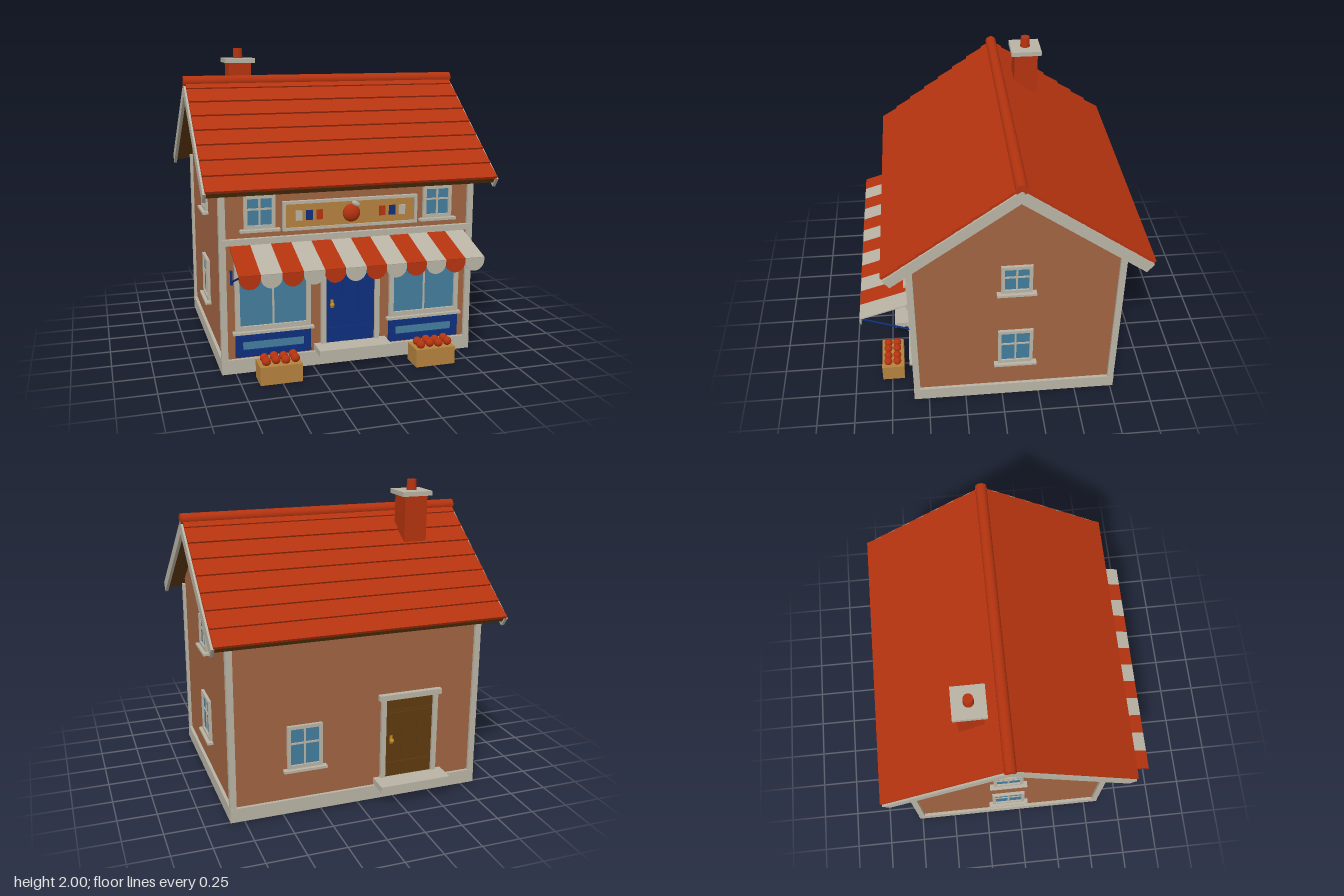
import * as THREE from 'three';

const mat = (name, color, side = THREE.FrontSide) => {
  const m = new THREE.MeshStandardMaterial({ color, side });
  m.name = name;
  return m;
};

export function createModel() {
  const wall = mat('terracotta wall', 0xa06442);
  const red = mat('red', 0xb4330f);
  const cream = mat('cream trim', 0xb8b3a4);
  const blue = mat('blue paint', 0x0f2f7c);
  const glass = mat('glass', 0x437c9c);
  const wood = mat('light wood', 0xb5823e);
  const brown = mat('dark wood', 0x5e3a0e);
  const gold = mat('brass', 0xc08a20);

  const house = new THREE.Group();
  house.name = 'shopHouse';
  const MID = -0.085, FRONT = 0.58, BACK = -0.75, SIDE = 0.82;

  const add = (parent, name, geo, material, x = 0, y = 0, z = 0) => {
    const m = new THREE.Mesh(geo, material);
    m.name = name;
    m.position.set(x, y, z);
    parent.add(m);
    return m;
  };
  const box = (parent, name, material, w, h, d, x, y, z) =>
    add(parent, name, new THREE.BoxGeometry(w, h, d), material, x, y, z);
  const group = (parent, name, x = 0, y = 0, z = 0, ry = 0) => {
    const g = new THREE.Group();
    g.name = name;
    g.position.set(x, y, z);
    g.rotation.y = ry;
    parent.add(g);
    return g;
  };
  // Four bars around a w by h opening, centred on x = 0
  const frame = (parent, name, material, w, h, t, d, y = 0, z = d / 2) => {
    for (const s of [-1, 1]) {
      box(parent, name, material, t, h, d, s * (w - t) / 2, y, z);
      box(parent, name, material, w - 2 * t, t, d, 0, y + s * (h - t) / 2, z);
    }
  };

  // Walls with gables, as one pentagon swept along x
  const hd = (FRONT - BACK) / 2;
  const gable = new THREE.Shape([
    [MID - hd, 0], [MID + hd, 0], [MID + hd, 1.245], [MID, 1.735], [MID - hd, 1.245],
  ].map(([a, b]) => new THREE.Vector2(a, b)));
  const wallGeo = new THREE.ExtrudeGeometry(gable, { depth: SIDE * 2, bevelEnabled: false });
  wallGeo.rotateY(-Math.PI / 2);
  add(house, 'walls', wallGeo, wall, SIDE, 0, 0);

  // Plinth, corner posts and front band
  box(house, 'plinth', cream, 1.68, 0.092, 1.37, 0, 0.051, MID);
  for (const x of [-0.819, 0.819])
    for (const z of [FRONT - 0.003, BACK + 0.003])
      box(house, 'cornerPost', cream, 0.04, 1.11, 0.042, x, 0.65, z);
  box(house, 'frontBand', cream, 1.65, 0.038, 0.035, 0, 0.854, FRONT + 0.012);

  // Roof: deck, overlapping tile courses and bargeboards on each slope
  const roof = group(house, 'roof', 0, 1.78, MID);
  const ANG = Math.atan2(0.595, 0.815), LEN = 1.009, PITCH = 0.133;
  for (const ry of [0, Math.PI]) {
    const side = group(roof, 'roofSide', 0, 0, 0, ry);
    const slope = group(side, 'roofSlope');
    slope.rotation.x = ANG;
    box(slope, 'roofDeck', brown, 1.86, 0.04, LEN - 0.01, 0, -0.02, (LEN - 0.01) / 2);
    for (let i = 0; i < 8; i++) {
      const low = LEN - i * PITCH, len = Math.min(PITCH + 0.012, low);
      const tile = box(slope, 'tileCourse', red, 1.868, 0.018, len, 0, 0.008, low - len / 2);
      tile.rotation.x = -0.09;
    }
    for (const x of [-0.937, 0.937])
      box(slope, 'bargeboard', cream, 0.02, 0.07, LEN, x, -0.033, LEN / 2);
  }
  const ridge = add(roof, 'ridgeCap', new THREE.CylinderGeometry(0.037, 0.037, 1.894, 20), red, 0, 0.008, 0);
  ridge.rotation.z = Math.PI / 2;

  // Chimney
  const chimney = group(house, 'chimney', -0.545, 0, -0.285);
  box(chimney, 'chimneyStack', red, 0.155, 0.42, 0.16, 0, 1.695, 0);
  box(chimney, 'chimneyCap', cream, 0.205, 0.03, 0.205, 0, 1.917, 0);
  add(chimney, 'chimneyPot', new THREE.CylinderGeometry(0.03, 0.034, 0.08, 20), red, 0, 1.96, 0);

  // Four-pane windows on all walls
  const smallWindow = (x, y, z, ry, w, h) => {
    const g = group(house, 'window', x, y, z, ry);
    frame(g, 'windowFrame', cream, w, h, 0.022, 0.02);
    box(g, 'windowGlass', glass, w - 0.03, h - 0.03, 0.008, 0, 0, 0.004);
    box(g, 'glazingBar', cream, 0.012, h - 0.04, 0.014, 0, 0, 0.007);
    box(g, 'glazingBar', cream, w - 0.04, 0.012, 0.014, 0, h * 0.08, 0.007);
    box(g, 'windowSill', cream, w + 0.053, 0.016, 0.04, 0, -h / 2 - 0.01, 0.02);
  };
  for (const s of [-1, 1]) {
    smallWindow(s * 0.586, 1.035, FRONT, 0, 0.197, 0.21);
    smallWindow(s * SIDE, 1.035, MID, s * Math.PI / 2, 0.197, 0.21);
    smallWindow(s * SIDE, 0.45, MID, s * Math.PI / 2, 0.23, 0.285);
  }
  smallWindow(0.354, 0.45, BACK, Math.PI, 0.23, 0.285);

  // Shop windows, panels beneath and fruit crates in front
  const fruitGeo = new THREE.SphereGeometry(0.028, 16, 12);
  for (const s of [-1, 1]) {
    const g = group(house, 'shopWindow', s * 0.507, 0, FRONT);
    frame(g, 'shopWindowFrame', cream, 0.485, 0.45, 0.03, 0.022, 0.505);
    box(g, 'shopGlass', glass, 0.44, 0.41, 0.008, 0, 0.505, 0.004);
    box(g, 'shopMullion', cream, 0.012, 0.4, 0.014, 0, 0.505, 0.007);
    box(g, 'shopSill', cream, 0.52, 0.016, 0.04, 0, 0.27, 0.02);
    frame(g, 'panelBorder', blue, 0.485, 0.145, 0.045, 0.022, 0.182);
    box(g, 'panelInset', glass, 0.42, 0.09, 0.009, 0, 0.182, 0.005);

    const crate = group(house, 'fruitCrate', s * 0.507, 0, 0.74);
    box(crate, 'crateBox', wood, 0.265, 0.116, 0.15, 0, 0.06, 0);
    for (let i = 0; i < 4; i++)
      for (const z of [-0.031, 0.031])
        add(crate, 'fruit', fruitGeo, red, -0.087 + i * 0.061, 0.138 + (i % 2) * 0.006, z);
  }

  // Doors with planks, ledges, handle and step
  const door = (x, z, ry, top, paint) => {
    const g = group(house, 'door', x, 0, z, ry);
    const bottom = 0.145, h = top - bottom, mid = (top + bottom) / 2;
    for (const s of [-1, 1]) box(g, 'doorJamb', cream, 0.032, h, 0.024, s * 0.18, mid, 0.012);
    box(g, 'doorLintel', cream, 0.43, 0.035, 0.036, 0, top + 0.012, 0.018);
    box(g, 'doorBack', paint, 0.33, h, 0.006, 0, mid, 0.003);
    for (const i of [-1, 0, 1])
      box(g, 'doorPlank', paint, 0.103, Math.min(h, 0.46), 0.012, i * 0.109, bottom + Math.min(h, 0.46) / 2, 0.006);
    for (const y of [0.23, 0.575]) box(g, 'doorLedge', paint, 0.3, 0.03, 0.02, 0, y, 0.01);
    add(g, 'doorKnob', new THREE.SphereGeometry(0.015, 14, 10), gold, -0.125, 0.4, 0.026);
    box(g, 'doorPlate', gold, 0.018, 0.055, 0.006, -0.125, 0.405, 0.014);
    box(g, 'doorStep', cream, 0.48, 0.04, 0.15, 0, 0.125, 0.07);
    return g;
  };
  const frontDoor = door(0, FRONT, 0, 0.74, blue);
  box(frontDoor, 'transomGlass', glass, 0.17, 0.1, 0.008, 0, 0.655, 0.008);
  door(-0.354, BACK, Math.PI, 0.69, brown);

  // Shop sign with plain picture plates
  const sign = group(house, 'sign', 0, 0.998, FRONT);
  frame(sign, 'signFrame', cream, 0.885, 0.185, 0.018, 0.028);
  box(sign, 'signBoard', wood, 0.86, 0.16, 0.016, 0, 0, 0.008);
  [cream, blue, red].forEach((m, i) => {
    for (const s of [-1, 1])
      box(sign, 'signPlate', m, 0.042, 0.062, 0.009, s * (0.34 - i * 0.067), 0, 0.02);
  });
  const apple = add(sign, 'signFruit', new THREE.SphereGeometry(0.057, 24, 16), red, 0, -0.002, 0.022);
  apple.scale.z = 0.6;
  const leaf = add(sign, 'signLeaf', new THREE.SphereGeometry(0.03, 16, 10), cream, 0.027, 0.056, 0.03);
  leaf.scale.set(1, 0.55, 0.35);
  leaf.rotation.z = -0.5;

  // Striped awning with scalloped valance
  const awning = group(house, 'awning');
  const N = 12, W = 1.553 / N, r = W / 2;
  const scallop = new THREE.Shape();
  scallop.moveTo(r, 0);
  scallop.lineTo(-r, 0);
  scallop.lineTo(-r, -0.018);
  scallop.absarc(0, -0.018, r, Math.PI, Math.PI * 2, false);
  const valanceGeo = new THREE.ExtrudeGeometry(scallop, { depth: 0.008, bevelEnabled: false, curveSegments: 12 });
  const run = 0.322, drop = 0.1;
  for (let i = 0; i < N; i++) {
    const m = i % 2 ? cream : red, x = (i - (N - 1) / 2) * W;
    const strip = box(awning, 'awningStripe', m, W, 0.009, Math.hypot(run, drop), x, 0.778, 0.585 + run / 2);
    strip.rotation.x = Math.atan2(drop, run);
    add(awning, 'valance', valanceGeo, m, x, 0.729, 0.901);
  }
  const a = new THREE.Vector3(0, 0.6, 0.585), b = new THREE.Vector3(0, 0.724, 0.9);
  for (const x of [-0.768, 0.768]) {
    const rod = add(awning, 'awningRod', new THREE.CylinderGeometry(0.006, 0.006, a.distanceTo(b), 10), blue);
    rod.position.addVectors(a, b).multiplyScalar(0.5).setX(x);
    rod.quaternion.setFromUnitVectors(new THREE.Vector3(0, 1, 0), b.clone().sub(a).normalize());
    box(awning, 'rodBracket', blue, 0.014, 0.09, 0.02, x, 0.63, FRONT + 0.01);
  }
  return house;
}
